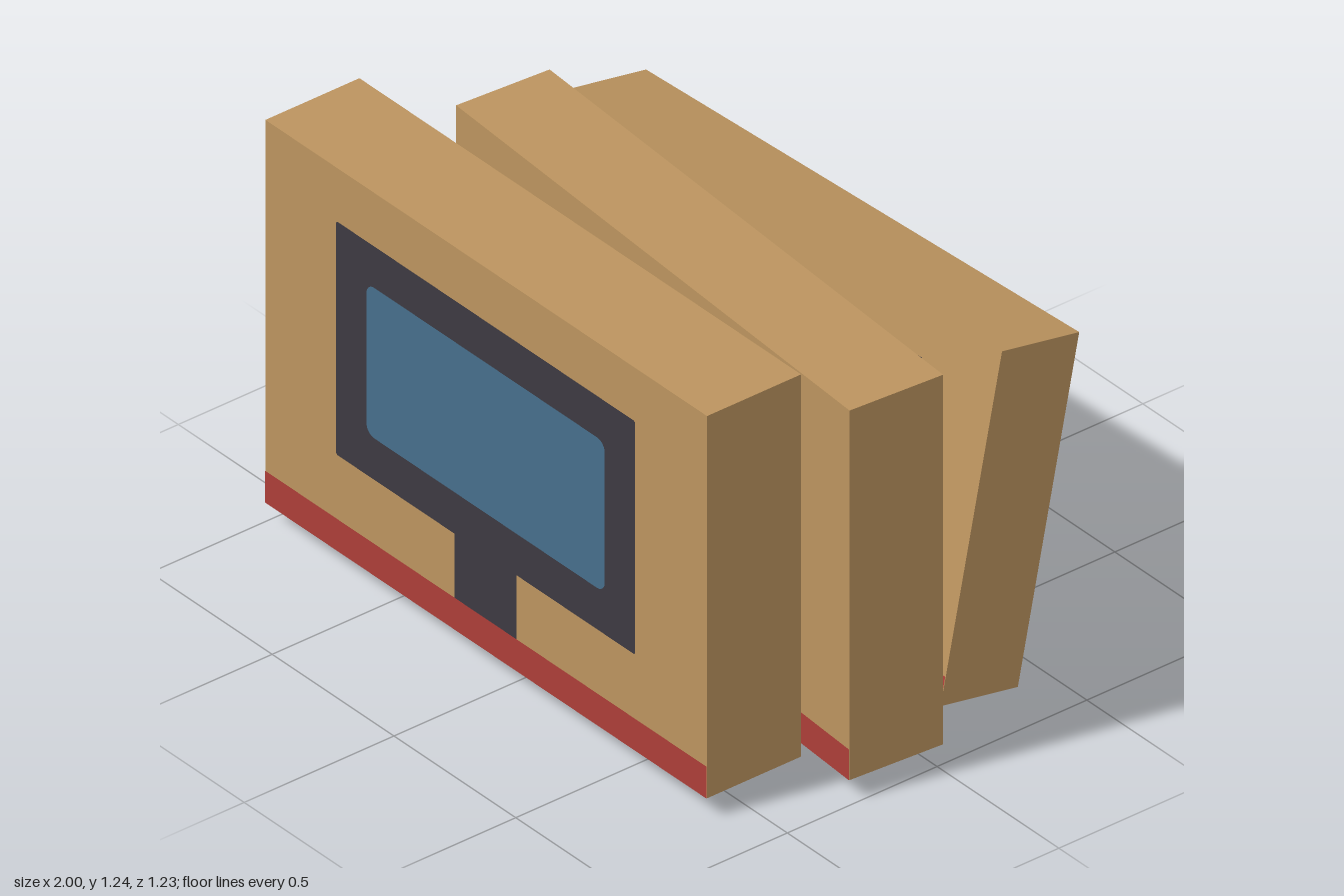
import * as THREE from 'three';

const mat = (name, color) => {
  const m = new THREE.MeshStandardMaterial({ color });
  m.name = name;
  return m;
};

// Rectangle with rounded corners, traced onto a shape or hole path
function roundedRect(path, x0, y0, x1, y1, r) {
  path.moveTo(x0 + r, y0);
  path.lineTo(x1 - r, y0);
  path.absarc(x1 - r, y0 + r, r, -Math.PI / 2, 0);
  path.lineTo(x1, y1 - r);
  path.absarc(x1 - r, y1 - r, r, 0, Math.PI / 2);
  path.lineTo(x0 + r, y1);
  path.absarc(x0 + r, y1 - r, r, Math.PI / 2, Math.PI);
  path.lineTo(x0, y0 + r);
  path.absarc(x0 + r, y0 + r, r, Math.PI, Math.PI * 1.5);
  return path;
}

export function createModel() {
  const cardboard = mat('cardboard', 0xbc945f);
  const ink = mat('dark ink', 0x3d3a42);
  const blue = mat('screen blue', 0x476f8c);
  const red = mat('stripe red', 0xad3e38);

  // Printed artwork, laid out for a full-size panel of W x H
  const W = 1.813, H = 1.181;
  const screenArea = [-0.489, -0.166, 0.489, 0.299, 0.032];
  const frame = roundedRect(new THREE.Shape(), -0.614, -0.294, 0.614, 0.427, 0.008);
  frame.holes.push(roundedRect(new THREE.Path(), ...screenArea));
  const frameGeo = new THREE.ShapeGeometry(frame, 6);
  const screenGeo = new THREE.ShapeGeometry(roundedRect(new THREE.Shape(), ...screenArea), 6);
  const standGeo = new THREE.PlaneGeometry(0.254, 0.198).translate(0, -0.393, 0);
  const stripeGeo = new THREE.PlaneGeometry(W, 0.0985).translate(0, -H / 2 + 0.04925, 0);

  function addMesh(parent, name, geo, material) {
    const mesh = new THREE.Mesh(geo, material);
    mesh.name = name;
    parent.add(mesh);
  }

  // One carton with the same print on its front and back
  function carton(name, [w, h, d], pos, tilt, yaw) {
    const g = new THREE.Group();
    g.name = name;
    addMesh(g, 'cartonBody', new THREE.BoxGeometry(w, h, d), cardboard);
    for (const side of [1, -1]) {
      const print = new THREE.Group();
      print.name = side > 0 ? 'frontPrint' : 'backPrint';
      addMesh(print, 'monitorFrame', frameGeo, ink);
      addMesh(print, 'monitorScreen', screenGeo, blue);
      addMesh(print, 'monitorStand', standGeo, ink);
      addMesh(print, 'baseStripe', stripeGeo, red);
      print.scale.set(w / W, h / H, 1);
      print.position.z = side * (d / 2 + 0.002);
      if (side < 0) print.rotation.y = Math.PI;
      g.add(print);
    }
    g.position.set(...pos);
    g.rotation.set(tilt, yaw, 0, 'YXZ');
    return g;
  }

  const model = new THREE.Group();
  model.name = 'cartonStack';
  model.add(
    carton('frontCarton', [W, H, 0.314], [-0.0935, 0.65, 0.459], 0, 0),
    carton('middleCarton', [1.772, 1.142, 0.296], [0.105, 0.63, 0.065], 0, -0.07),
    carton('leaningCarton', [1.677, 1.026, 0.275], [0.003, 0.53, -0.331], -0.21, 0.05)
  );
  return model;
}
